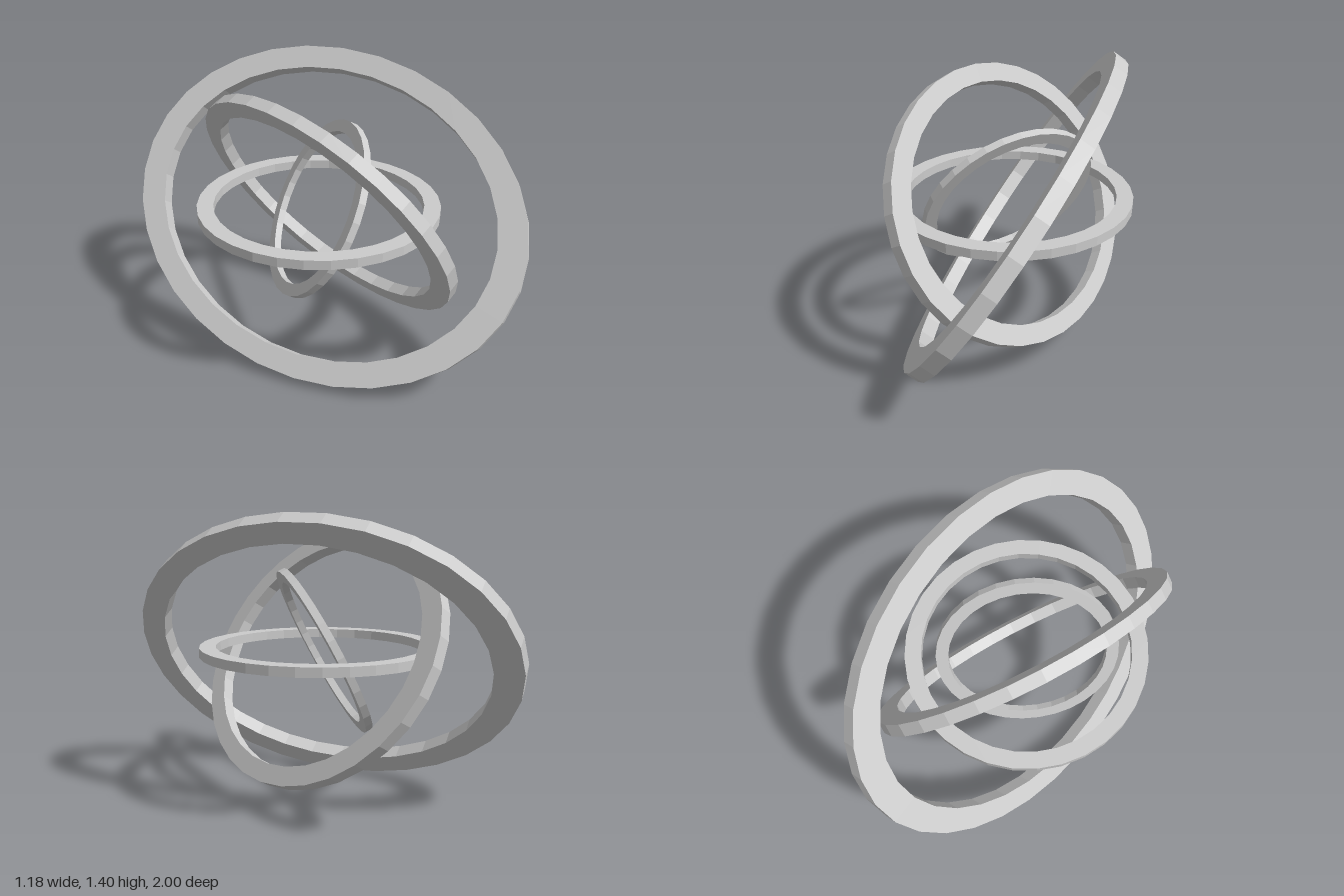
import * as THREE from 'three';

const SIDES = 32;
const INNER = 0.865; // hole size relative to the rim

// Flat band with a rectangular section, spanned by two in-plane radius vectors
function makeRing(name, centre, u, v, thickness) {
  const profile = [[1, -0.5], [1, 0.5], [INNER, 0.5], [INNER, -0.5], [1, -0.5]]
    .map(([r, y]) => new THREE.Vector2(r, y));
  const U = new THREE.Vector3(...u);
  const V = new THREE.Vector3(...v);
  const axis = new THREE.Vector3().crossVectors(V, U).setLength(thickness);
  const matrix = new THREE.Matrix4().makeBasis(U, axis, V).setPosition(...centre);

  const geometry = new THREE.LatheGeometry(profile, SIDES).applyMatrix4(matrix).toNonIndexed();
  geometry.computeVertexNormals();
  const material = new THREE.MeshStandardMaterial({ color: 0xcccccc, flatShading: true });
  const mesh = new THREE.Mesh(geometry, material);
  mesh.name = name;
  return mesh;
}

export function createModel() {
  const group = new THREE.Group();
  group.name = 'nestedRings';
  group.add(
    // large tilted oval ring
    makeRing('outerRing', [0.03, 0.704, 0], [0.467, 0.661, 0], [0.2, -0.17, 0.992], 0.073),
    // oval ring leaning the other way
    makeRing('middleRing', [0.025, 0.735, 0.015], [0.345, -0.588, 0], [-0.085, -0.038, 0.78], 0.06),
    // level round ring
    makeRing('levelRing', [0, 0.748, 0.01], [0.59, 0, 0], [0, 0, 0.59], 0.045),
    // small tilted round ring
    makeRing('innerRing', [-0.015, 0.735, 0.005], [0.232, 0.385, 0], [-0.187, 0.114, 0.388], 0.036),
  );
  return group;
}
